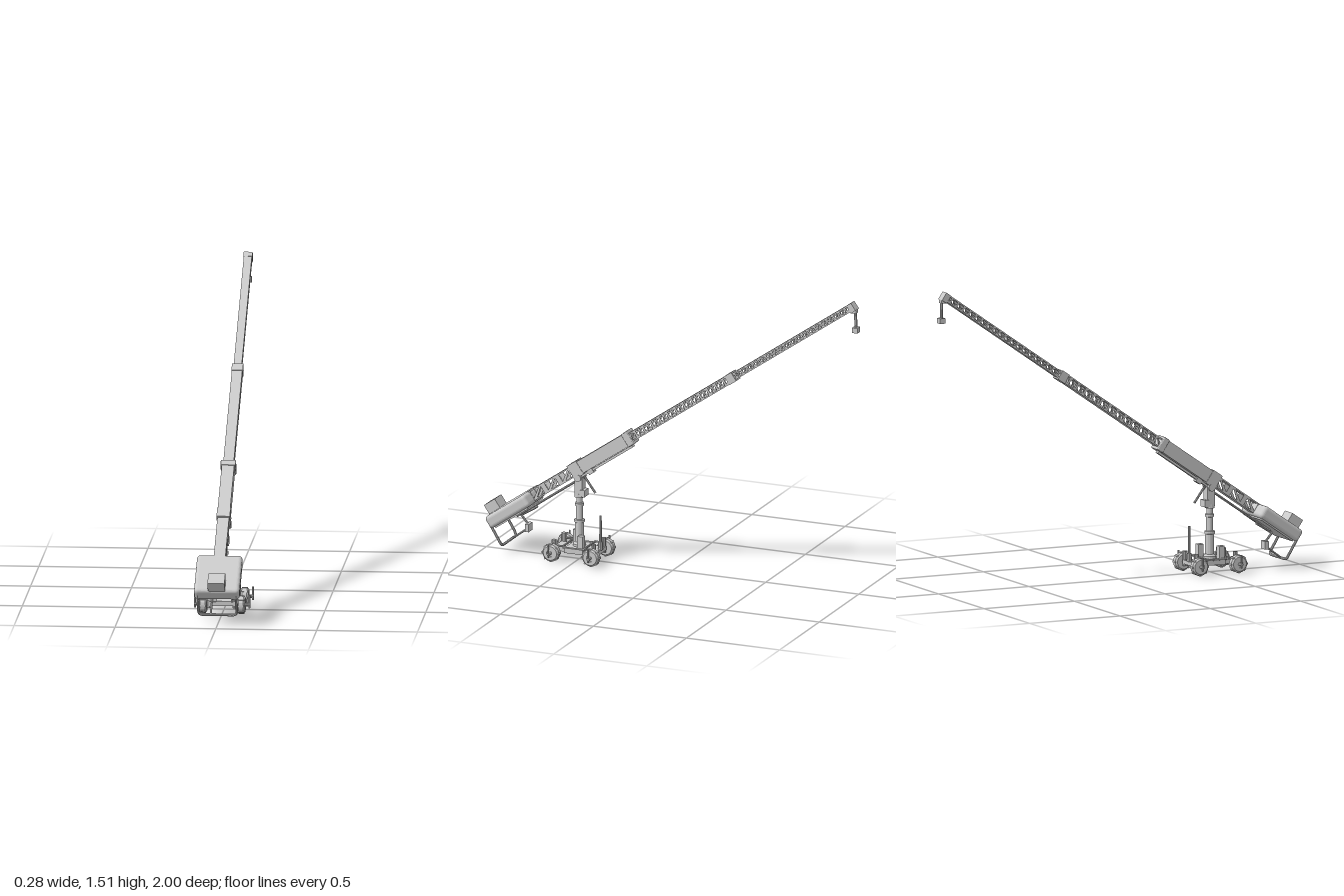
import * as THREE from 'three';
import { RoundedBoxGeometry } from 'three/addons/geometries/RoundedBoxGeometry.js';

const mat = new THREE.MeshStandardMaterial({ color: 0xcccccc, flatShading: true });
const V = (x, y, z) => new THREE.Vector3(x, y, z);

function add(parent, name, geo, x = 0, y = 0, z = 0) {
  const m = new THREE.Mesh(geo, mat);
  m.name = name;
  m.position.set(x, y, z);
  parent.add(m);
  return m;
}
const box = (p, name, w, h, d, x, y, z) => add(p, name, new THREE.BoxGeometry(w, h, d), x, y, z);
const cyl = (p, name, r0, r1, h, x, y, z, n = 12) =>
  add(p, name, new THREE.CylinderGeometry(r0, r1, h, n), x, y, z);

// Round bar between two points
function rod(p, name, a, b, r) {
  const m = cyl(p, name, r, r, a.distanceTo(b), 0, 0, 0, 8);
  m.position.copy(a).add(b).multiplyScalar(0.5);
  m.quaternion.setFromUnitVectors(V(0, 1, 0), b.clone().sub(a).normalize());
  return m;
}

// Boom section from u0 to u1 (measured up the boom, local -z), with triangular side openings
function truss(p, name, u0, u1, w, h, n, web) {
  const g = new THREE.Group();
  g.name = name;
  p.add(g);
  const t = 0.004, chord = 0.007, len = u1 - u0, step = len / n;
  const shape = new THREE.Shape([[u0, -h / 2], [u1, -h / 2], [u1, h / 2], [u0, h / 2]]
    .map(c => new THREE.Vector2(...c)));
  const lo = -h / 2 + chord, hi = h / 2 - chord;
  for (let i = 0; i < n; i++) {
    const a = u0 + i * step, k = step * web;
    const tris = [
      [[a + k, hi], [a + step - k, hi], [a + k, lo + 0.004]],
      [[a + step - k * 0.4, hi - 0.004], [a + step - k * 0.4, lo], [a + 2 * k, lo]],
    ];
    for (const tri of tris) shape.holes.push(new THREE.Path(tri.map(c => new THREE.Vector2(...c))));
  }
  for (const s of [-1, 1]) {
    const geo = new THREE.ExtrudeGeometry(shape, { depth: t, bevelEnabled: false });
    geo.translate(0, 0, -t / 2).rotateY(Math.PI / 2);
    add(g, 'latticeSide', geo, s * (w / 2 - t / 2));
    box(g, 'boomPlate', w, t, len, 0, s * (h / 2 - t / 2), -(u0 + u1) / 2);
  }
}

function makeBoom() {
  const boom = new THREE.Group();
  boom.name = 'boom';
  boom.position.set(0, 0.465, 0.51);
  boom.rotation.x = 0.605;

  // Telescoping sections and their collars
  truss(boom, 'rearSection', -0.3, -0.02, 0.058, 0.056, 3, 0.2);
  box(boom, 'outerSection', 0.062, 0.066, 0.36, 0, 0, -0.17);
  truss(boom, 'middleSection', 0.34, 1.02, 0.052, 0.046, 13, 0.16);
  truss(boom, 'tipSection', 1.0, 1.8, 0.04, 0.036, 20, 0.16);
  box(boom, 'pivotCollar', 0.066, 0.076, 0.06, 0, 0, 0);
  add(boom, 'frontCollar', new RoundedBoxGeometry(0.076, 0.074, 0.036, 2, 0.006), 0, 0, -0.343);
  box(boom, 'middleCollar', 0.056, 0.05, 0.045, 0, 0, -1.01);
  box(boom, 'headBlock', 0.044, 0.044, 0.03, 0, -0.003, -1.793);

  // Rail and control rod under the boom
  box(boom, 'underRail', 0.025, 0.012, 0.33, 0, -0.042, -0.17);
  rod(boom, 'controlRod', V(0, -0.05, 0.43), V(0, -0.05, -0.02), 0.006);
  box(boom, 'railBracket', 0.03, 0.025, 0.03, 0, -0.045, -0.06);

  // Counterweight platform with top box
  add(boom, 'counterweight', new RoundedBoxGeometry(0.225, 0.066, 0.255, 3, 0.018), 0, -0.004, 0.41);
  box(boom, 'counterweightSkirt', 0.2, 0.02, 0.21, 0, -0.034, 0.41);
  box(boom, 'topBox', 0.084, 0.055, 0.07, 0, 0.053, 0.5);
  return boom;
}

// Wheel with ridged tyre, hub, axle and pins
function makeWheel(s, z, front) {
  const g = new THREE.Group();
  g.name = 'wheelUnit';
  g.position.set(s * 0.095, 0.046, z);
  add(g, 'tyre', new THREE.LatheGeometry([[0.018, -0.02], [0.036, -0.02], [0.044, -0.012],
    [0.044, 0.012], [0.036, 0.02], [0.018, 0.02], [0.018, -0.02]]
    .map(c => new THREE.Vector2(...c)), 16)).rotation.z = Math.PI / 2;
  cyl(g, 'hub', 0.02, 0.02, 0.032, 0, 0, 0).rotation.z = Math.PI / 2;
  for (let i = 0; i < 8; i++) {
    const a = i * Math.PI / 4;
    box(g, 'tread', 0.03, 0.012, 0.009, 0, Math.cos(a) * 0.04, Math.sin(a) * 0.04).rotation.x = a;
  }
  rod(g, 'axle', V(-s * 0.05, 0, 0), V(s * 0.043, 0, 0), 0.008);
  cyl(g, 'outerPin', 0.005, 0.005, 0.066, s * 0.04, 0.016, 0, 8);
  cyl(g, 'kingpin', 0.012, 0.012, 0.075, -s * 0.032, 0.02, 0, 10);
  rod(g, 'steeringArm', V(-s * 0.032, 0.03, 0), V(-s * 0.025, 0.03, -front * 0.05), 0.005);
  return g;
}

function makeDolly() {
  const g = new THREE.Group();
  g.name = 'dolly';
  box(g, 'deck', 0.09, 0.022, 0.23, 0, 0.052, 0.503);
  box(g, 'deckCentre', 0.14, 0.026, 0.1, 0, 0.056, 0.503);
  for (const [z, f] of [[0.61, 1], [0.396, -1]]) {
    box(g, 'axleBeam', 0.13, 0.02, 0.026, 0, 0.05, z);
    rod(g, 'tieRod', V(-0.07, 0.076, z - f * 0.05), V(0.07, 0.076, z - f * 0.05), 0.005);
    for (const s of [-1, 1]) g.add(makeWheel(s, z, f));
  }
  for (const s of [-1, 1]) rod(g, 'sideRod', V(s * 0.068, 0.07, 0.56), V(s * 0.068, 0.07, 0.446), 0.005);
  box(g, 'equipmentBox', 0.03, 0.07, 0.03, 0.05, 0.1, 0.47);
  box(g, 'equipmentBox', 0.03, 0.07, 0.03, -0.05, 0.1, 0.536);
  cyl(g, 'steeringPost', 0.006, 0.007, 0.175, 0, 0.148, 0.387, 10);
  cyl(g, 'steeringPostBase', 0.012, 0.014, 0.04, 0, 0.08, 0.387, 10);
  return g;
}

function makeColumn() {
  const g = new THREE.Group();
  g.name = 'column';
  // Stepped tube with rings
  const profile = [[0, 0.06], [0.032, 0.06], [0.032, 0.08], [0.022, 0.09], [0.022, 0.19], [0.026, 0.192],
    [0.026, 0.205], [0.018, 0.207], [0.018, 0.275], [0.023, 0.277], [0.023, 0.29], [0.016, 0.292],
    [0.016, 0.318], [0.024, 0.32], [0.024, 0.34], [0, 0.34]];
  add(g, 'columnTube', new THREE.LatheGeometry(profile.map(c => new THREE.Vector2(...c)), 16), 0, 0, 0.5);
  box(g, 'tiltHead', 0.044, 0.1, 0.04, 0, 0.38, 0.498);
  cyl(g, 'tiltPivot', 0.018, 0.018, 0.07, 0, 0.425, 0.497).rotation.z = Math.PI / 2;
  box(g, 'headBox', 0.05, 0.035, 0.03, 0, 0.345, 0.478);
  rod(g, 'tiltHandle', V(0, 0.425, 0.47), V(0, 0.35, 0.415), 0.006);
  return g;
}

// Push bar under the counterweight, with a hanging control box
function makePushBar() {
  const g = new THREE.Group();
  g.name = 'pushBar';
  const path = new THREE.CurvePath();
  const pts = [V(-0.095, 0.16, 0.945), V(-0.095, 0.07, 0.89), V(-0.075, 0.047, 0.878),
    V(0.075, 0.047, 0.878), V(0.095, 0.07, 0.89), V(0.095, 0.16, 0.945)];
  path.add(new THREE.LineCurve3(pts[0], pts[1]));
  path.add(new THREE.QuadraticBezierCurve3(pts[1], V(-0.095, 0.047, 0.878), pts[2]));
  path.add(new THREE.LineCurve3(pts[2], pts[3]));
  path.add(new THREE.QuadraticBezierCurve3(pts[3], V(0.095, 0.047, 0.878), pts[4]));
  path.add(new THREE.LineCurve3(pts[4], pts[5]));
  add(g, 'pushBarTube', new THREE.TubeGeometry(path, 60, 0.007, 8));
  rod(g, 'barBrace', V(-0.035, 0.047, 0.878), V(-0.035, 0.112, 0.79), 0.005);
  box(g, 'controlBox', 0.048, 0.04, 0.02, -0.035, 0.118, 0.788);
  rod(g, 'controlBoxArm', V(-0.035, 0.13, 0.788), V(-0.035, 0.18, 0.83), 0.006);
  rod(g, 'rearBrace', V(-0.035, 0.18, 0.82), V(-0.035, 0.23, 0.74), 0.006);
  return g;
}

// Hanging mount at the boom tip
function makeTipMount() {
  const g = new THREE.Group();
  g.name = 'tipMount';
  box(g, 'mountTop', 0.03, 0.02, 0.028, 0, 1.465, -0.976);
  rod(g, 'mountPost', V(0, 1.47, -0.982), V(0, 1.37, -0.985), 0.008);
  box(g, 'mountFoot', 0.034, 0.026, 0.03, 0, 1.367, -0.985);
  return g;
}

export function createModel() {
  const model = new THREE.Group();
  model.name = 'cameraCrane';
  model.add(makeBoom(), makeDolly(), makeColumn(), makePushBar(), makeTipMount());
  return model;
}
